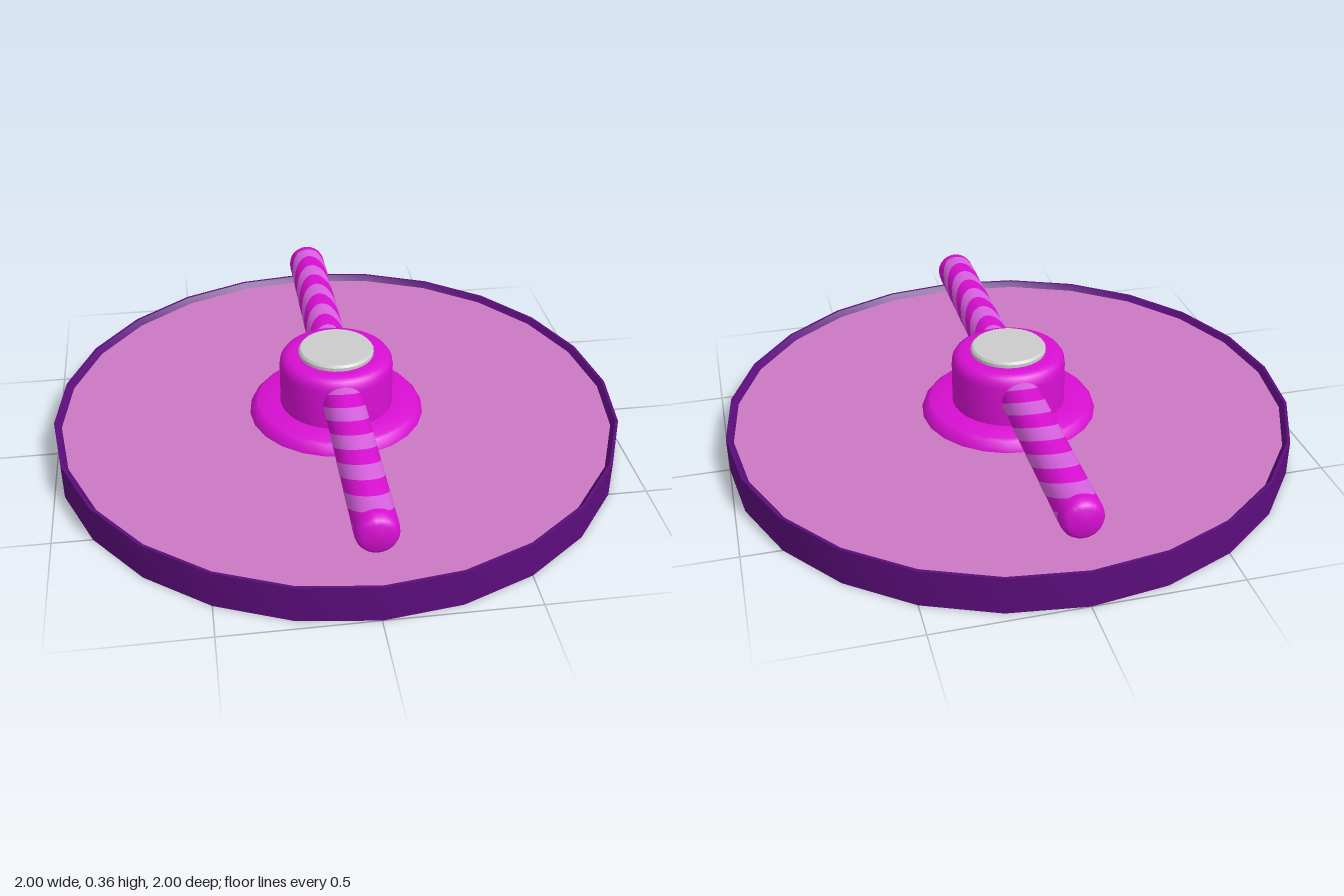
import * as THREE from 'three';
import { toCreasedNormals } from 'three/addons/utils/BufferGeometryUtils.js';

const material = (color) => new THREE.MeshStandardMaterial({ color });

// Turned part from a [radius, height] profile running bottom to top
function turned(name, profile, sides, mat) {
  const points = profile.map(([r, y]) => new THREE.Vector2(r, y));
  const geometry = toCreasedNormals(new THREE.LatheGeometry(points, sides), 0.7);
  const mesh = new THREE.Mesh(geometry, mat);
  mesh.name = name;
  return mesh;
}

// Slanted stripes wrapped around a rod that points along +y
function stripeGeometry(radius, start, end, period, slant) {
  const sides = 48, positions = [], normals = [], indices = [];
  for (let from = start - 0.01; from < end + slant; from += period) {
    const base = positions.length / 3;
    for (let i = 0; i <= sides; i++) {
      const a = (i / sides) * Math.PI * 2;
      const shift = slant * (1 - Math.cos(a)) / 2;
      for (const edge of [from, from + period / 2]) {
        const y = THREE.MathUtils.clamp(edge - shift, start, end);
        positions.push(Math.sin(a) * radius, y, Math.cos(a) * radius);
        normals.push(Math.sin(a), 0, Math.cos(a));
      }
      if (i < sides) {
        const k = base + i * 2;
        indices.push(k, k + 2, k + 1, k + 1, k + 2, k + 3);
      }
    }
  }
  const geometry = new THREE.BufferGeometry();
  geometry.setAttribute('position', new THREE.Float32BufferAttribute(positions, 3));
  geometry.setAttribute('normal', new THREE.Float32BufferAttribute(normals, 3));
  geometry.setIndex(indices);
  return geometry;
}

export function createModel() {
  const model = new THREE.Group();
  model.name = 'spinner';
  const purple = material(0x5c0d7c);
  const pink = material(0xcb78c2);
  const magenta = material(0xd80fd2);
  const lightMagenta = material(0xd862e0);
  const grey = material(0xcccccc);

  // Shallow tray with a thin sloping lip and a recessed face
  model.add(turned('tray', [[0, 0], [1, 0], [1, 0.13], [0.99, 0.13], [0.975, 0.11]], 24, purple));
  model.add(turned('trayFace', [[0.978, 0.11], [0, 0.11]], 24, pink));

  // Flange and rounded hub
  model.add(turned('flange',
    [[0.31, 0.11], [0.305, 0.125], [0.29, 0.143], [0.28, 0.15], [0.18, 0.15]], 24, magenta));
  model.add(turned('hub', [[0.2, 0.14], [0.2, 0.295], [0.197, 0.315], [0.187, 0.33],
    [0.172, 0.338], [0.15, 0.34], [0, 0.34]], 40, magenta));
  model.add(turned('cap', [[0.132, 0.335], [0.132, 0.352], [0.125, 0.36], [0, 0.36]], 32, grey));

  // Two striped arms, mirrored front and back
  const armProfile = [[0.07, 0.1], [0.07, 0.875], [0.067, 0.893], [0.06, 0.905], [0.048, 0.912], [0, 0.912]];
  const stripes = stripeGeometry(0.0708, 0.17, 0.86, 0.16, 0.25);
  for (const [name, turn] of [['frontArm', 0], ['backArm', Math.PI]]) {
    const arm = new THREE.Group();
    arm.name = name;
    const rod = turned('rod', armProfile, 48, magenta);
    const bands = new THREE.Mesh(stripes, lightMagenta);
    bands.name = 'stripes';
    // Stripe seam on top of the arm
    bands.rotation.y = Math.PI;
    const tilt = new THREE.Group();
    tilt.name = 'armTilt';
    tilt.rotation.x = Math.PI / 2;
    tilt.add(rod, bands);
    arm.add(tilt);
    arm.position.y = 0.245;
    arm.rotation.y = turn;
    model.add(arm);
  }
  return model;
}
